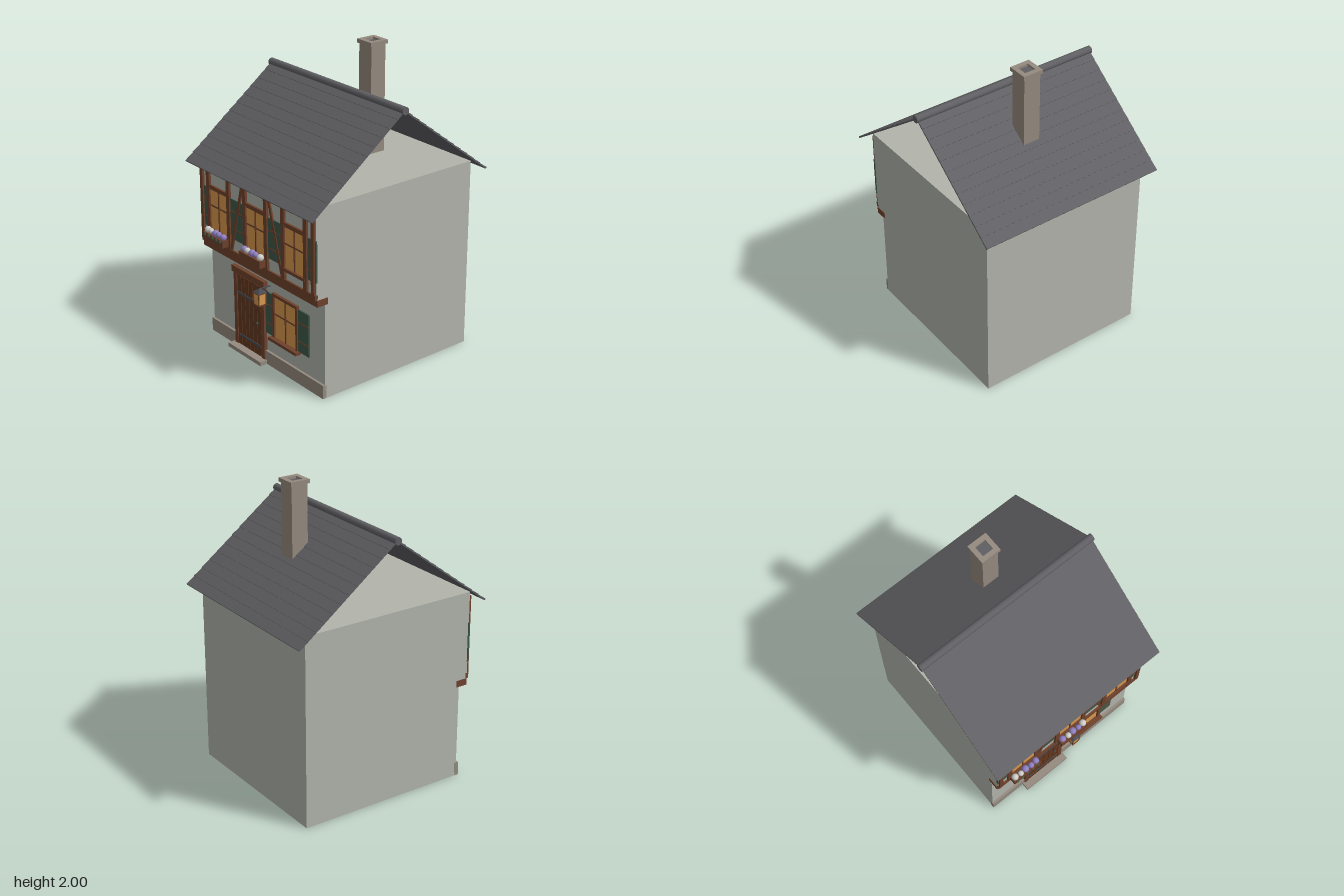
import * as THREE from 'three';

const mat = (name, color, side = THREE.FrontSide) => {
  const m = new THREE.MeshStandardMaterial({ color, side });
  m.name = name;
  return m;
};

export function createModel() {
  const plaster = mat('plaster', 0xb2b4ac);
  const slate = mat('slate', 0x606064);
  const timber = mat('timber', 0x70422c);
  const stone = mat('stone', 0x958b7f);
  const glass = mat('warm glass', 0xd9994c);
  const green = mat('shutter green', 0x3f5a49);
  const doorWood = mat('door wood', 0x63381f);
  const iron = mat('iron', 0x4a4b50);
  const lilac = mat('lilac petals', 0x8f80c4);
  const white = mat('pale petals', 0xcfcfcc);

  const house = new THREE.Group();
  house.name = 'house';
  const group = (name) => {
    const g = new THREE.Group();
    g.name = name;
    house.add(g);
    return g;
  };
  const add = (parent, name, geometry, material) => {
    const m = new THREE.Mesh(geometry, material);
    m.name = name;
    parent.add(m);
    return m;
  };
  // Box given by its bounds
  const box = (parent, name, material, x0, x1, y0, y1, z0, z1) => {
    const m = add(parent, name, new THREE.BoxGeometry(x1 - x0, y1 - y0, z1 - z0), material);
    m.position.set((x0 + x1) / 2, (y0 + y1) / 2, (z0 + z1) / 2);
    return m;
  };
  // Round or square bar between two points
  const bar = (parent, name, material, a, b, r, sides = 8) => {
    const p = new THREE.Vector3(...a), q = new THREE.Vector3(...b);
    const m = add(parent, name, new THREE.CylinderGeometry(r, r, p.distanceTo(q), sides), material);
    m.position.copy(p).lerp(q, 0.5);
    m.quaternion.setFromUnitVectors(new THREE.Vector3(0, 1, 0), q.sub(p).normalize());
    return m;
  };
  // Side profile of [z, y] points, extruded symmetrically along x
  const profileX = (parent, name, material, points, halfWidth) => {
    const shape = new THREE.Shape(points.map(([z, y]) => new THREE.Vector2(z, y)));
    const g = new THREE.ExtrudeGeometry(shape, { depth: halfWidth * 2, bevelEnabled: false });
    g.rotateY(-Math.PI / 2).translate(halfWidth, 0, 0);
    return add(parent, name, g, material);
  };

  const F = 0.557, U = 0.62; // front planes of the lower and upper storey

  // Walls with overhanging upper storey
  profileX(house, 'walls', plaster,
    [[-0.615, 0], [F, 0], [F, 0.68], [U, 0.68], [U, 1.27], [-0.615, 1.27]], 0.588);
  box(house, 'plinth', stone, -0.592, 0.588, 0, 0.092, F - 0.01, 0.573);

  // Roof: two thin slopes with stepped courses
  const roof = group('roof');
  const courses = 12, slope = new THREE.Vector2(0.695, -0.525), n = new THREE.Vector2(0.603, 0.798);
  const at = (t, lift) => [slope.x * t + n.x * lift, 1.745 + slope.y * t + n.y * lift];
  const profile = [at(0, -0.005), at(1, -0.005)];
  for (let i = courses; i > 0; i--) {
    profile.push(at(i / courses, 0.007), at((i - 1) / courses, 0.003));
  }
  profileX(roof, 'frontSlope', slate, profile, 0.646);
  profileX(roof, 'backSlope', slate, profile, 0.646).rotation.y = Math.PI;
  bar(roof, 'ridge', slate, [-0.655, 1.745, 0], [0.655, 1.745, 0], 0.025, 12);

  // Chimney with an open cap
  const chimney = group('chimney');
  const cx = 0.043, cz = -0.263;
  box(chimney, 'chimneyStack', stone, cx - 0.058, cx + 0.058, 1.27, 1.98, cz - 0.057, cz + 0.057);
  box(chimney, 'flue', slate, cx - 0.037, cx + 0.037, 1.978, 1.984, cz - 0.037, cz + 0.037);
  const square = (s, T) => new T([[-s, -s], [s, -s], [s, s], [-s, s]].map((p) => new THREE.Vector2(...p)));
  const capShape = square(0.068, THREE.Shape);
  capShape.holes.push(square(0.037, THREE.Path));
  const capGeo = new THREE.ExtrudeGeometry(capShape, { depth: 0.025, bevelEnabled: false });
  add(chimney, 'chimneyCap', capGeo.rotateX(-Math.PI / 2), stone).position.set(cx, 1.975, cz);

  // Timber frame of the upper storey
  const frame = group('timberFrame');
  box(frame, 'overhangBeam', timber, -0.592, 0.592, 0.637, 0.68, 0.537, 0.617);
  box(frame, 'sillBeam', timber, -0.588, 0.588, 0.68, 0.716, U - 0.01, 0.632);
  for (const s of [-1, 1]) {
    for (const x of [0.109, 0.281, 0.498, 0.569]) {
      const w = x > 0.55 ? 0.014 : 0.016;
      box(frame, 'post', timber, s * x - w, s * x + w, 0.716, 1.24, U - 0.01, 0.636);
    }
    const brace = box(frame, 'brace', timber, -0.011, 0.011, -0.257, 0.257, 0.61, 0.63);
    brace.position.x = s * 0.197;
    brace.position.y = 0.965;
    brace.rotation.z = s * Math.atan2(0.136, 0.494);
  }

  // Shutters with cross battens
  const shutter = (parent, x0, x1, y0, y1, z) => {
    box(parent, 'shutter', green, x0, x1, y0, y1, z - 0.005, z + 0.006);
    for (const t of [0.25, 0.7]) {
      const y = y0 + (y1 - y0) * t;
      box(parent, 'shutterBatten', timber, x0, x1, y - 0.004, y + 0.004, z, z + 0.009);
    }
  };
  // Glass with a cross of glazing bars
  const pane = (parent, x0, x1, y0, y1, z, barY) => {
    const x = (x0 + x1) / 2;
    box(parent, 'glass', glass, x0, x1, y0, y1, z - 0.005, z + 0.005);
    box(parent, 'glazingBar', timber, x - 0.005, x + 0.005, y0, y1, z, z + 0.01);
    box(parent, 'glazingBar', timber, x0, x1, barY - 0.005, barY + 0.005, z, z + 0.009);
  };

  // Upper windows
  const upper = group('upperWindows');
  for (const x of [-0.39, 0, 0.39]) {
    pane(upper, x - 0.095, x + 0.095, 0.796, 1.066, U, 0.955);
    box(upper, 'lintel', timber, x - 0.1, x + 0.1, 1.066, 1.093, U - 0.01, 0.634);
    box(upper, 'windowSill', timber, x - 0.105, x + 0.105, 0.776, 0.796, U - 0.01, 0.64);
  }
  for (const [x0, x1] of [[-0.592, -0.5], [-0.288, -0.115], [0.115, 0.288], [0.5, 0.592]]) {
    shutter(upper, x0, x1, 0.796, 1.066, U);
  }

  // Flower boxes
  const flowers = group('flowerBoxes');
  for (const x of [-0.392, 0]) {
    box(flowers, 'flowerBox', timber, x - 0.108, x + 0.108, 0.732, 0.78, 0.634, 0.682);
    for (let i = 0; i < 5; i++) {
      const r = [0.023, 0.019, 0.024, 0.02, 0.022][x ? i : 4 - i];
      const pale = x ? i < 2 : i === 1 || i === 4;
      const fx = x + (i - 2) * 0.042, fz = 0.657 + (i % 2 ? 0.006 : 0);
      add(flowers, 'blossom', new THREE.SphereGeometry(r, 12, 8), pale ? white : lilac)
        .position.set(fx, 0.793 + (i % 2) * 0.006, fz);
      if (x) add(flowers, 'leaf', new THREE.SphereGeometry(0.013, 8, 6), green)
        .position.set(fx, 0.766, 0.68);
    }
  }

  // Ground floor window
  const lower = group('lowerWindow');
  pane(lower, 0.098, 0.322, 0.223, 0.51, F + 0.002, 0.387);
  for (const x of [0.092, 0.328]) box(lower, 'windowJamb', timber, x - 0.009, x + 0.009, 0.22, 0.53, F - 0.01, 0.575);
  box(lower, 'windowHead', timber, 0.083, 0.337, 0.51, 0.53, F - 0.01, 0.576);
  box(lower, 'windowSill', timber, 0.067, 0.35, 0.203, 0.223, F - 0.01, 0.598);
  shutter(lower, 0.004, 0.083, 0.222, 0.51, F + 0.004);
  shutter(lower, 0.337, 0.442, 0.222, 0.51, F + 0.004);

  // Plank door with frame, straps and doorstep
  const door = group('door');
  box(door, 'doorStep', stone, -0.334, 0.016, 0, 0.027, F - 0.01, 0.626);
  for (const x of [-0.303, -0.014]) box(door, 'doorPost', timber, x - 0.016, x + 0.016, 0.027, 0.535, F - 0.01, 0.58);
  box(door, 'doorHead', timber, -0.334, 0.014, 0.535, 0.578, F - 0.01, 0.586);
  box(door, 'doorBacking', timber, -0.287, -0.03, 0.027, 0.535, F - 0.01, 0.5735);
  const plank = 0.252 / 6;
  for (let i = 0; i < 6; i++) {
    const x = -0.285 + i * plank;
    box(door, 'doorPlank', doorWood, x + 0.002, x + plank - 0.002, 0.03, 0.525, F, 0.577);
  }
  for (const y of [0.1, 0.4]) box(door, 'doorStrap', iron, -0.28, -0.036, y - 0.008, y + 0.008, 0.57, 0.581);
  add(door, 'doorKnob', new THREE.SphereGeometry(0.009, 10, 8), iron).position.set(-0.066, 0.26, 0.584);

  // Hanging lantern
  const lantern = group('lantern');
  const lx = 0.041, lz = 0.636;
  box(lantern, 'lanternGlass', glass, lx - 0.026, lx + 0.026, 0.46, 0.535, lz - 0.026, lz + 0.026);
  for (const y of [0.456, 0.536]) box(lantern, 'lanternRim', timber, lx - 0.031, lx + 0.031, y - 0.004, y + 0.004, lz - 0.031, lz + 0.031);
  for (const sx of [-1, 1]) for (const sz of [-1, 1]) {
    const x = lx + sx * 0.027, z = lz + sz * 0.027;
    box(lantern, 'lanternPost', timber, x - 0.003, x + 0.003, 0.456, 0.536, z - 0.003, z + 0.003);
  }
  const hood = new THREE.ConeGeometry(0.046, 0.026, 4).rotateY(Math.PI / 4).toNonIndexed();
  hood.computeVertexNormals();
  add(lantern, 'lanternHood', hood, iron).position.set(lx, 0.552, lz);
  bar(lantern, 'lanternArm', iron, [lx, 0.558, F], [lx, 0.558, lz], 0.005);
  bar(lantern, 'lanternStay', iron, [lx, 0.5, F], [lx, 0.556, 0.605], 0.004);

  return house;
}
